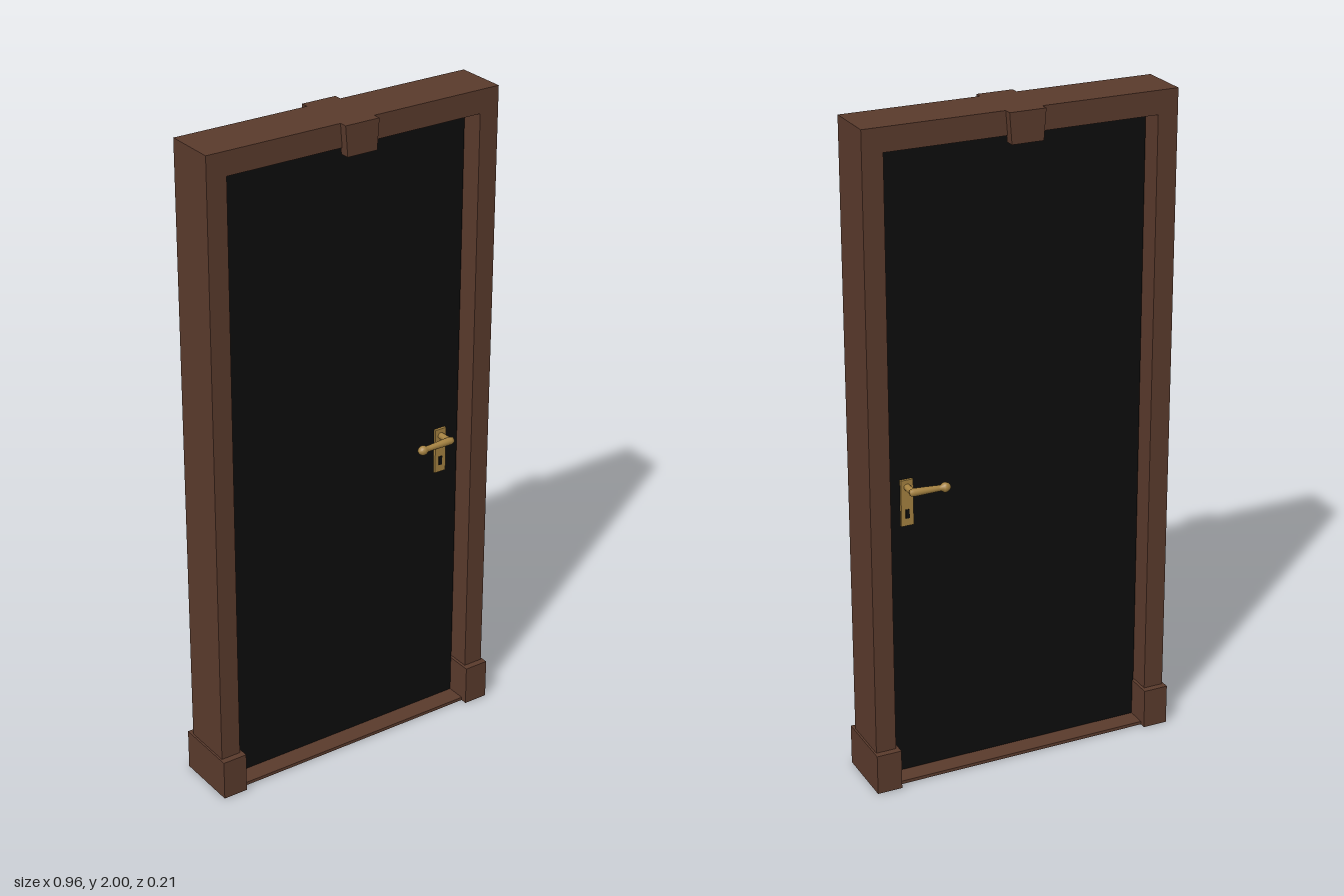
import * as THREE from 'three';

export function createModel() {
  const door = new THREE.Group();
  door.name = 'door';
  const mat = (name, color) => {
    const m = new THREE.MeshStandardMaterial({ color });
    m.name = name;
    return m;
  };
  const wood = mat('brown wood', 0x5a3a2c);
  const black = mat('black panel', 0x0d0d0d);
  const brass = mat('brass', 0xa48140);

  const add = (parent, name, geometry, material, x = 0, y = 0, z = 0) => {
    const mesh = new THREE.Mesh(geometry, material);
    mesh.name = name;
    mesh.position.set(x, y, z);
    parent.add(mesh);
    return mesh;
  };
  // Box given by its lower and upper corners
  const box = (parent, name, material, [x0, y0, z0], [x1, y1, z1]) =>
    add(parent, name, new THREE.BoxGeometry(x1 - x0, y1 - y0, z1 - z0), material,
      (x0 + x1) / 2, (y0 + y1) / 2, (z0 + z1) / 2);

  // Frame: lintel, threshold, posts and plinth blocks
  const frame = new THREE.Group();
  frame.name = 'frame';
  door.add(frame);
  box(frame, 'lintel', wood, [-0.413, 1.93, -0.08], [0.413, 2, 0.08]);
  box(frame, 'threshold', wood, [-0.413, 0, -0.08], [0.413, 0.01, 0.08]);
  for (const [side, s] of [['left', 1], ['right', -1]]) {
    const post = add(frame, side + 'Post', new THREE.BoxGeometry(0.062, 2, 0.16), wood, s * 0.444, 1, 0);
    post.position.x = s * 0.444;
    add(frame, side + 'Plinth', new THREE.BoxGeometry(0.077, 0.125, 0.2), wood, s * 0.4425, 0.0625, 0);
  }

  // Tapered keystones on both faces of the lintel
  const keyShape = new THREE.Shape([
    [-0.048, 1.91], [0.048, 1.91], [0.055, 2], [-0.055, 2],
  ].map(([x, y]) => new THREE.Vector2(x, y)));
  const keyGeometry = new THREE.ExtrudeGeometry(keyShape, { depth: 0.03, bevelEnabled: false });
  add(frame, 'frontKeystone', keyGeometry, wood, 0, 0, 0.074);
  add(frame, 'backKeystone', keyGeometry, wood, 0, 0, -0.104);

  // Door leaf
  box(door, 'doorLeaf', black, [-0.407, 0.01, -0.02], [0.405, 1.92, 0.02]);

  // Hinges
  for (const y of [0.273, 0.963, 1.653]) {
    const hinge = new THREE.Group();
    hinge.name = 'hinge';
    hinge.position.set(-0.408, y, 0.021);
    door.add(hinge);
    add(hinge, 'knuckle', new THREE.CylinderGeometry(0.007, 0.007, 0.078, 12), brass);
    add(hinge, 'leaf', new THREE.BoxGeometry(0.012, 0.07, 0.006), brass, 0, 0, -0.003);
  }

  // Lever profile, from the spindle to the rounded tip
  const leverProfile = [
    [0, -0.012], [0.009, -0.01], [0.012, 0], [0.011, 0.03], [0.009, 0.075], [0.009, 0.085],
    [0.014, 0.092], [0.015, 0.099], [0.012, 0.107], [0.006, 0.113], [0, 0.115],
  ].map(([r, h]) => new THREE.Vector2(r, h));

  // Handle sets, the back one mirrored by placement
  for (const [side, s] of [['front', 1], ['back', -1]]) {
    const handle = new THREE.Group();
    handle.name = side + 'Handle';
    handle.position.set(0.34, 0, s * 0.02);
    door.add(handle);
    add(handle, 'plate', new THREE.BoxGeometry(0.038, 0.142, 0.008), brass, 0, 0.879, s * 0.004);
    add(handle, 'keyhole', new THREE.BoxGeometry(0.012, 0.028, 0.002), black, 0, 0.845, s * 0.0085);
    const spindle = add(handle, 'spindle', new THREE.CylinderGeometry(0.01, 0.01, 0.05, 16), brass, 0, 0.928, s * 0.028);
    spindle.rotation.x = Math.PI / 2;
    const lever = add(handle, 'lever', new THREE.LatheGeometry(leverProfile, 16), brass, 0, 0.93, s * 0.053);
    lever.rotation.z = Math.PI / 2 + 0.03;
  }
  return door;
}
